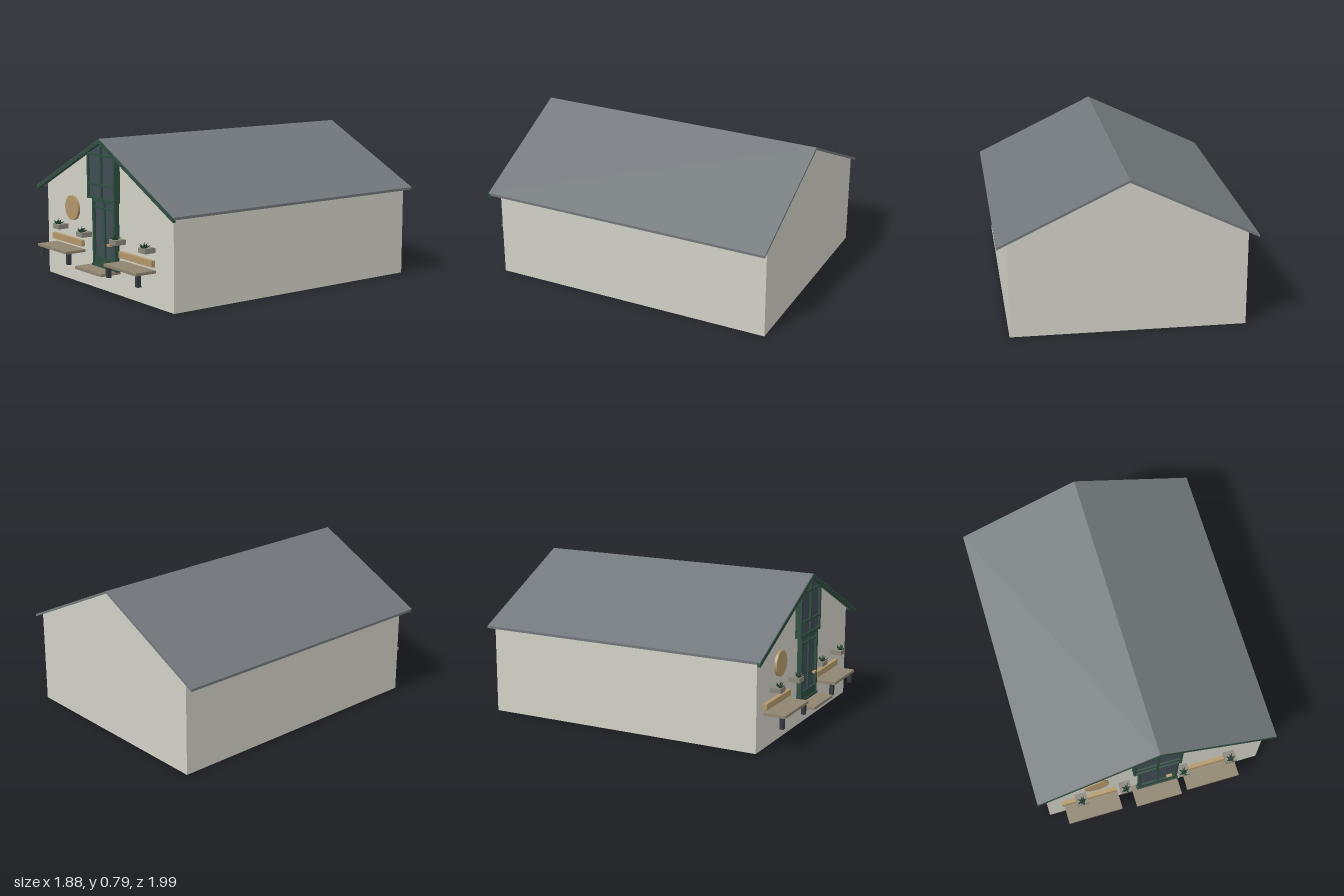
import * as THREE from 'three';

const mat = (name, color, side = THREE.FrontSide) => {
  const m = new THREE.MeshStandardMaterial({ color, side });
  m.name = name;
  return m;
};

export function createModel() {
  const plaster = mat('plaster', 0xd2d1c7, THREE.DoubleSide);
  const slate = mat('slate', 0x72777b);
  const green = mat('green paint', 0x2f4d40);
  const glass = mat('dark glass', 0x3f4d54);
  const wood = mat('weathered wood', 0x8f8470);
  const gold = mat('golden wood', 0xb2986a);
  const iron = mat('dark iron', 0x343a3c);
  const leaf = mat('foliage', 0x24402f);
  const stone = mat('planter stone', 0x8a877c);

  const model = new THREE.Group();
  model.name = 'cottage';
  const house = new THREE.Group();
  house.name = 'house';
  house.rotation.y = -0.498; // the house stands at an angle
  model.add(house);

  const add = (name, geo, material, parent = house) => {
    const m = new THREE.Mesh(geo, material);
    m.name = name;
    parent.add(m);
    return m;
  };
  // box given by its limits on each axis
  const box = (name, material, x0, x1, y0, y1, z0, z1, parent) => {
    const m = add(name, new THREE.BoxGeometry(x1 - x0, y1 - y0, z1 - z0), material, parent);
    m.position.set((x0 + x1) / 2, (y0 + y1) / 2, (z0 + z1) / 2);
    return m;
  };
  const shape = (pts) => new THREE.Shape(pts.map(([x, y]) => new THREE.Vector2(x, y)));
  const prism = (name, material, pts, z0, z1) => {
    const geo = new THREE.ExtrudeGeometry(shape(pts), { depth: z1 - z0, bevelEnabled: false });
    geo.translate(0, 0, z0);
    return add(name, geo, material);
  };

  const W = 0.59, FRONT = 0.741, BACK = -0.769;
  const EAVE = 0.643, RIDGE = 0.785, SLOPE = 0.482;
  const under = (x) => RIDGE - 0.013 - Math.abs(x) * SLOPE; // underside of the roof

  // walls, open underneath
  const end = [[-W, 0], [W, 0], [W, under(W)], [0, under(0)], [-W, under(W)]];
  add('frontWall', new THREE.ShapeGeometry(shape(end)), plaster).position.z = FRONT;
  const back = add('backWall', new THREE.ShapeGeometry(shape(end)), plaster);
  back.position.z = BACK;
  back.rotation.y = Math.PI;
  for (const s of [-1, 1]) {
    const side = add(s > 0 ? 'leftWall' : 'rightWall',
      new THREE.PlaneGeometry(FRONT - BACK, under(W)), plaster);
    side.position.set(s * W, under(W) / 2, (FRONT + BACK) / 2);
    side.rotation.y = s * Math.PI / 2;
  }

  // roof and green gable trim
  const chevron = (top, thick) => {
    const y = (x) => top - Math.abs(x) * SLOPE;
    return [[-EAVE, y(EAVE)], [-EAVE, y(EAVE) - thick], [0, top - thick],
      [EAVE, y(EAVE) - thick], [EAVE, y(EAVE)], [0, top]];
  };
  prism('roof', slate, chevron(RIDGE, 0.013), -0.78, 0.78);
  prism('gableTrim', green, chevron(RIDGE - 0.003, 0.022), 0.768, 0.783);

  // gable window with bars
  const g = 0.128;
  prism('gableGlass', glass,
    [[-g, 0.47], [g, 0.47], [g, under(g)], [0, under(0)], [-g, under(g)]], 0.743, 0.765);
  for (const x of [-0.122, 0, 0.122])
    box('gableWindowBar', green, x - 0.007, x + 0.007, 0.47, under(x) - 0.004, 0.735, 0.775);
  for (const y of [0.478, 0.548, 0.7])
    box('gableWindowRail', green, -0.125, 0.125, y - 0.006, y + 0.006, 0.743, 0.774);

  // door: glass leaf, frame, kick panel, handle and step
  const cx = 0.011, h = 0.106;
  box('doorGlass', glass, cx - h, cx + h, 0.13, 0.468, 0.733, 0.755);
  for (const s of [-1, 1])
    box('doorPost', green, cx + s * (h - 0.007) - 0.008, cx + s * (h - 0.007) + 0.008, 0.125, 0.47, 0.738, 0.767);
  box('doorMullion', green, cx - 0.006, cx + 0.006, 0.13, 0.468, 0.75, 0.763);
  box('doorTransom', green, cx - h, cx + h, 0.425, 0.435, 0.75, 0.763);
  box('doorHead', green, cx - h, cx + h, 0.46, 0.474, 0.738, 0.767);
  box('doorKickPanel', green, cx - h, cx + h, 0.13, 0.178, 0.75, 0.764);
  box('doorSill', green, cx - h - 0.01, cx + h + 0.01, 0.122, 0.134, 0.73, 0.768);
  box('doorHandle', gold, 0.055, 0.085, 0.247, 0.257, 0.763, 0.778);
  box('doorStep', wood, -0.13, 0.122, 0.11, 0.124, FRONT, 0.855);

  // benches on either side of the door
  for (const [x0, x1] of [[-0.505, -0.212], [0.15, 0.438]]) {
    const bench = new THREE.Group();
    bench.name = 'bench';
    house.add(bench);
    box('benchSeat', wood, x0, x1, 0.17, 0.184, FRONT, 0.856, bench);
    box('benchBack', gold, x0 - 0.01, x1 - 0.005, 0.2, 0.232, FRONT, 0.762, bench);
    for (const x of [x0 + 0.012, x1 - 0.012])
      box('benchLeg', iron, x - 0.011, x + 0.011, 0.113, 0.17, 0.825, 0.845, bench);
  }

  // round wall plaque
  const plaque = add('plaque', new THREE.CylinderGeometry(0.065, 0.065, 0.014, 32), gold);
  plaque.rotation.x = Math.PI / 2;
  plaque.position.set(-0.322, 0.39, FRONT + 0.007);

  // wall planters with leafy plants
  for (const [x, y] of [[-0.411, 0.27], [-0.172, 0.262], [0.146, 0.27], [0.406, 0.27]]) {
    const planter = new THREE.Group();
    planter.name = 'planter';
    planter.position.set(x, y, 0.785);
    house.add(planter);
    box('planterBox', stone, -0.03, 0.03, 0, 0.025, -0.044, 0.016, planter);
    for (let i = 0; i < 9; i++) {
      const a = i * 2.4, tilt = i ? 0.45 + 0.09 * i : 0;
      const geo = new THREE.ConeGeometry(0.009, 0.034, 5);
      geo.translate(0, 0.017, 0);
      const blade = add('leaf', geo, leaf, planter);
      blade.position.set(0, 0.022, 0);
      blade.rotation.set(0, a, tilt, 'YXZ');
    }
  }
  return model;
}
